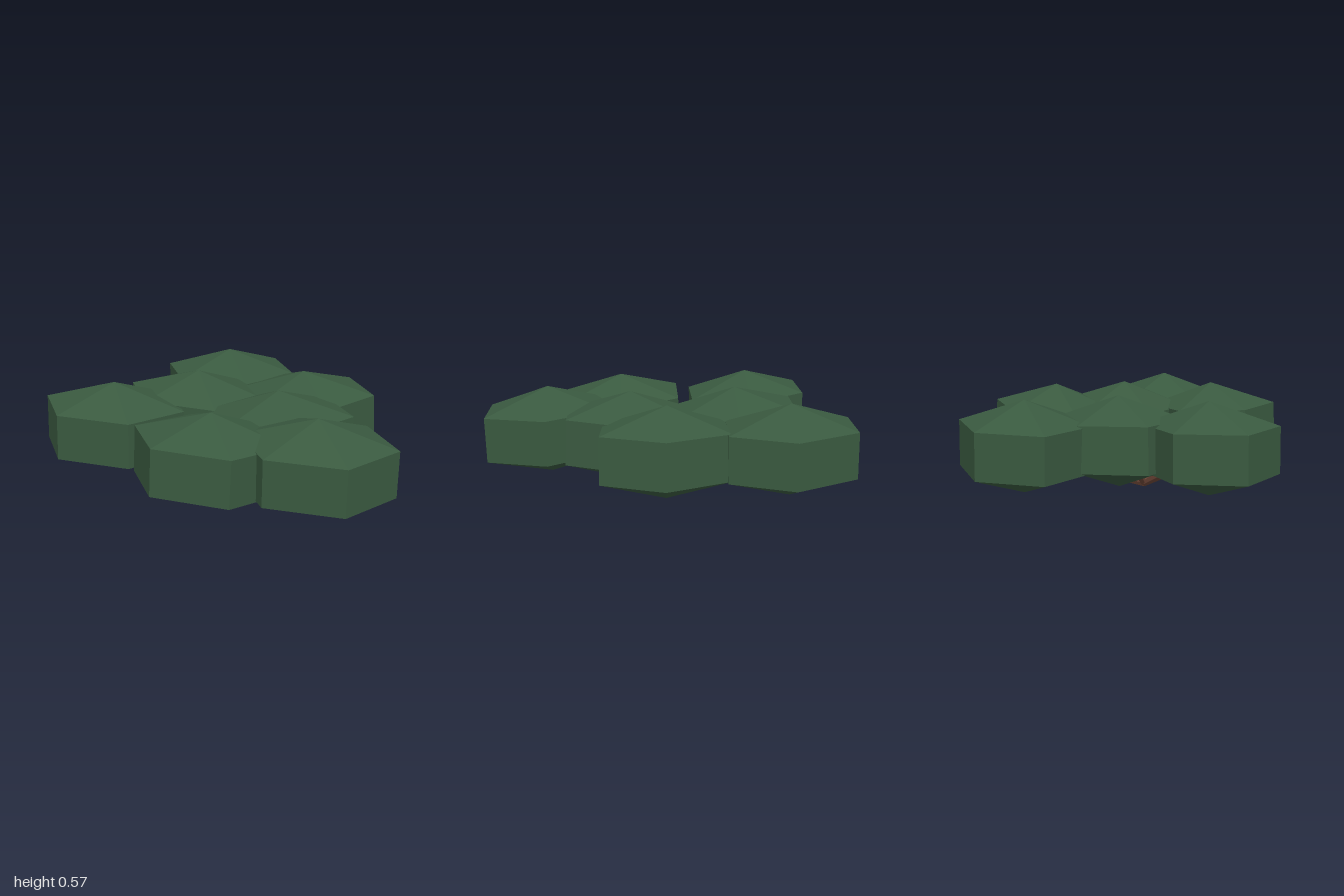
import * as THREE from 'three';

export function createModel() {
  const group = new THREE.Group();
  group.name = 'lowBush';
  const leaf = new THREE.MeshStandardMaterial({ color: 0x3a5a40, flatShading: true });
  leaf.name = 'leafGreen';
  const bark = new THREE.MeshStandardMaterial({ color: 0x6d4637, flatShading: true });
  bark.name = 'barkBrown';

  // Six-sided leaf clumps: centre x, z, then small tilts about x, y and z
  const clumps = [
    [-0.19, -0.61, 0.01, -0.03, 0.01],
    [0.36, -0.27, 0.04, -0.02, 0.04],
    [-0.23, -0.10, 0, 0, -0.04],
    [-0.59, 0.255, 0.0, 0.02, -0.03],
    [0.32, 0.145, 0, 0, 0.04],
    [0.075, 0.605, -0.03, 0.01, -0.04],
    [0.605, 0.53, 0.02, 0.03, -0.02],
  ];
  const clumpGeometry = new THREE.SphereGeometry(1, 6, 3).scale(0.463, 0.245, 0.4);
  const base = new THREE.Vector3(0.03, 0.012, 0.155);
  const up = new THREE.Vector3(0, 1, 0);

  clumps.forEach(([x, z, rx, ry, rz], i) => {
    const centre = new THREE.Vector3(x, 0.325, z);
    const clump = new THREE.Mesh(clumpGeometry, leaf);
    clump.name = `leafClump${i + 1}`;
    clump.position.copy(centre);
    clump.rotation.set(rx, ry, rz);
    group.add(clump);

    // Branch from the root up into the clump, widening outwards
    const direction = centre.clone().sub(base);
    const length = direction.length() * 0.9;
    direction.normalize();
    const branchGeometry = new THREE.CylinderGeometry(0.05, 0.016, length, 5);
    branchGeometry.translate(0, length / 2, 0);
    const branch = new THREE.Mesh(branchGeometry, bark);
    branch.name = `branch${i + 1}`;
    branch.position.copy(base);
    branch.quaternion.setFromUnitVectors(up, direction);
    group.add(branch);
  });
  return group;
}
